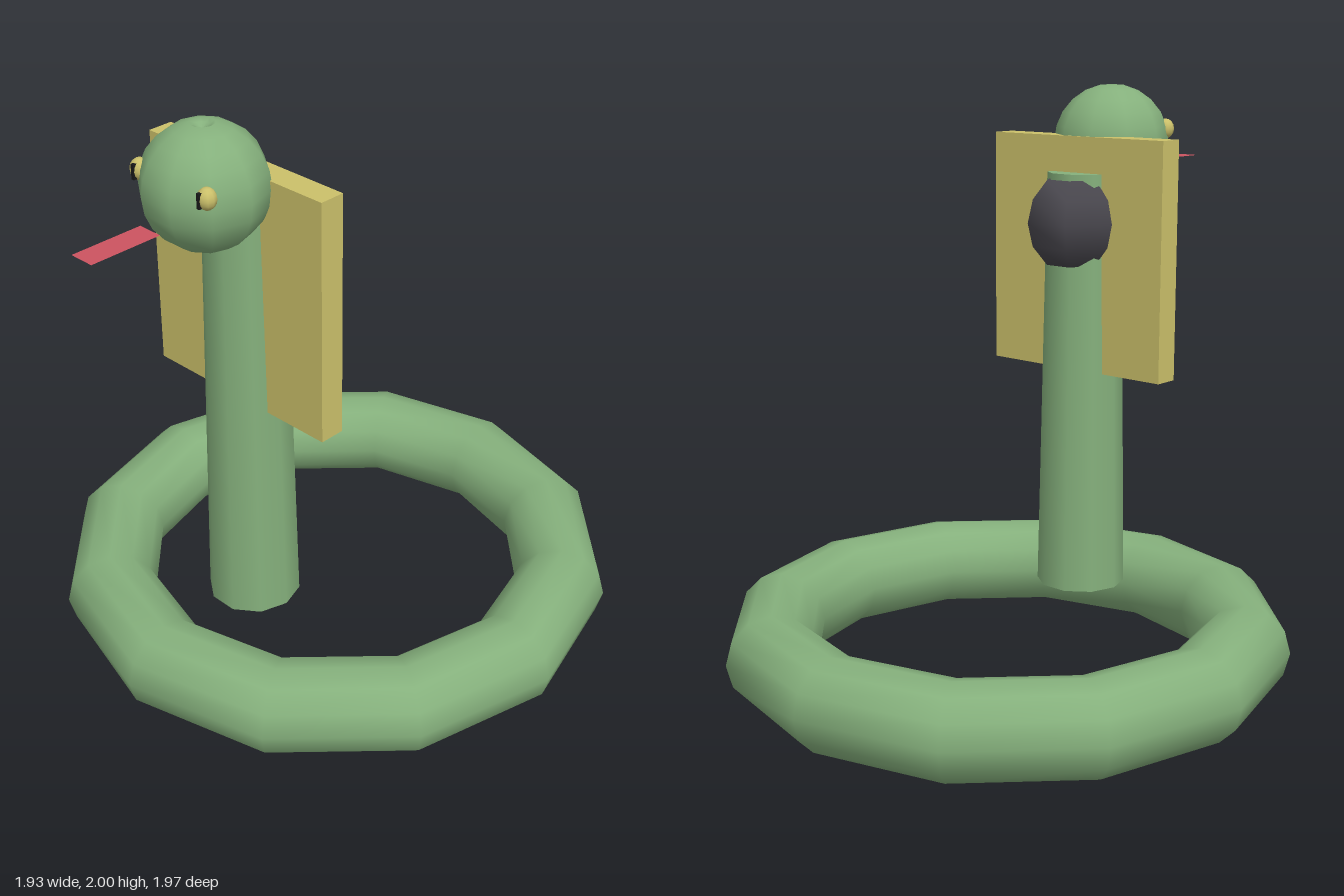
import * as THREE from 'three';

const material = (color, side = THREE.FrontSide) =>
  new THREE.MeshStandardMaterial({ color, side });

export function createModel() {
  const model = new THREE.Group();
  const green = material(0x85b07c);
  const yellow = material(0xcbc06a);
  const dark = material(0x4a484f);
  const black = material(0x181818);
  const red = material(0xcc5360, THREE.DoubleSide);

  function add(name, geometry, mat, x, y, z) {
    const mesh = new THREE.Mesh(geometry, mat);
    mesh.name = name;
    mesh.position.set(x, y, z);
    model.add(mesh);
    return mesh;
  }

  // Low-poly turned shape with a corner on the x axis
  const turned = (points, sides) => new THREE.LatheGeometry(
    points.map(([r, y]) => new THREE.Vector2(r, y)), sides, Math.PI / 2);

  // Coiled body: a twelve-sided ring lying on the ground
  const ring = new THREE.TorusGeometry(0.81, 0.155, 12, 12).rotateX(Math.PI / 2);
  add('bodyRing', ring, green, 0, 0.157, -0.02);

  // Upright neck, tapering upwards
  const neckBottom = 0.25, neckTop = 1.71;
  add('neck', new THREE.CylinderGeometry(0.127, 0.155, neckTop - neckBottom, 10, 1, false, Math.PI / 2),
    green, 0, (neckBottom + neckTop) / 2, 0.38);

  // Head: round, with a small dimple at each pole
  const headR = 0.198;
  const profile = [[0, -0.17], [0.025, -0.185]];
  for (let i = 0; i <= 10; i++) {
    const a = THREE.MathUtils.lerp(-1.37, 1.37, i / 10);
    profile.push([headR * Math.cos(a), headR * Math.sin(a)]);
  }
  profile.push([0.025, 0.185], [0, 0.17]);
  add('head', turned(profile, 10), green, 0, 1.805, 0.525);

  // Eyes with upright slit pupils
  for (const side of [-1, 1]) {
    const label = side > 0 ? 'left' : 'right';
    const eye = add(label + 'Eye', new THREE.SphereGeometry(0.03, 10, 8), yellow, side * 0.143, 1.85, 0.645);
    eye.scale.y = 1.15;
    add(label + 'Pupil', new THREE.BoxGeometry(0.011, 0.048, 0.02), black, side * 0.139, 1.85, 0.666);
  }

  // Flat tongue
  add('tongue', new THREE.PlaneGeometry(0.086, 0.246).rotateX(-Math.PI / 2), red, 0, 1.735, 0.86);

  // Square board behind the head
  add('hood', new THREE.BoxGeometry(0.73, 0.805, 0.087), yellow, 0, 1.43, 0.376);

  // Six-sided dark knot at the back of the neck, dished at both ends
  const half = [[0.165, 0], [0.147, 0.08], [0.095, 0.145], [0, 0.1]];
  const knot = [...half.slice(1).reverse().map(([r, y]) => [r, -y]), ...half];
  add('backKnot', turned(knot, 6), dark, 0, 1.545, 0.323);

  return model;
}
